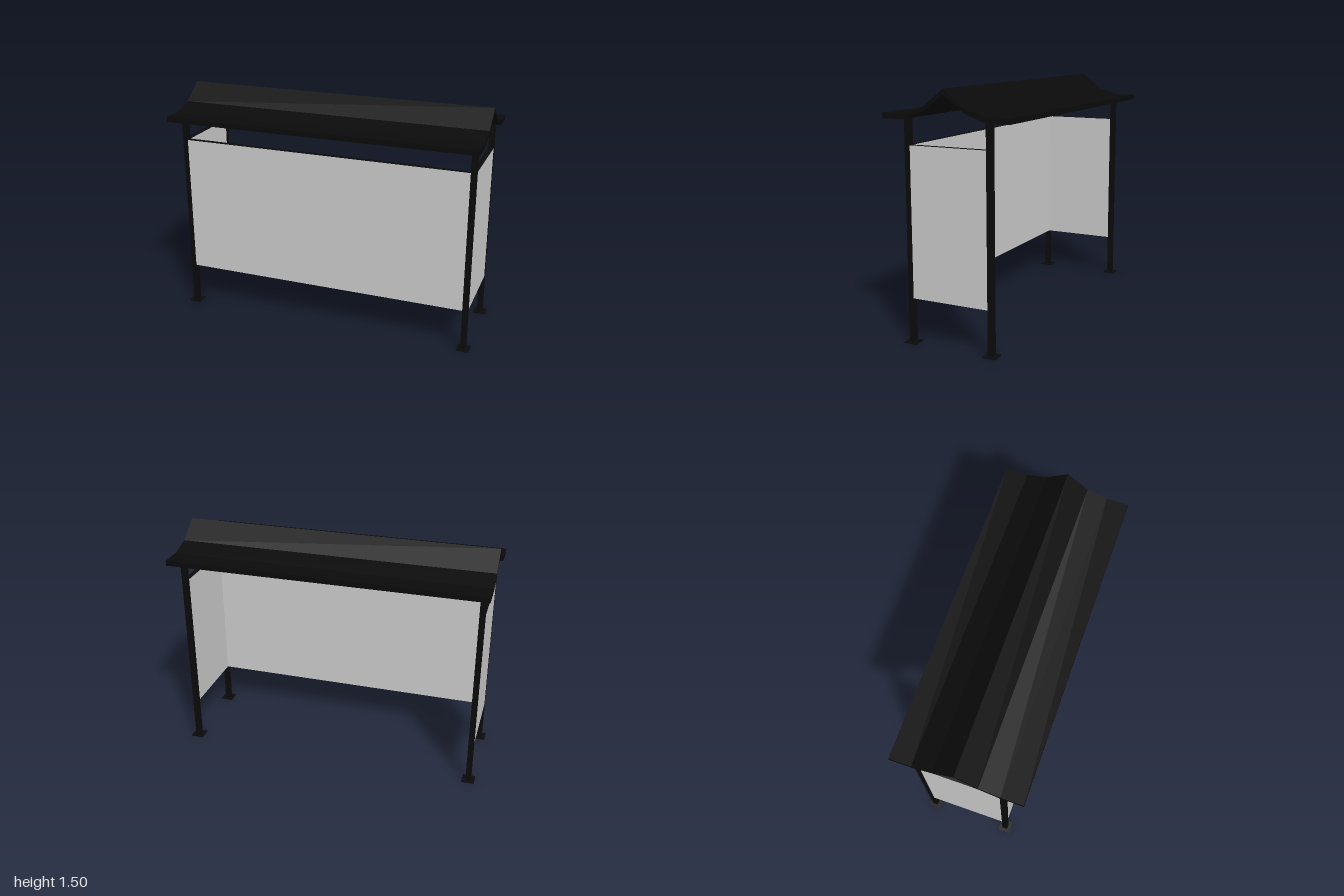
import * as THREE from 'three';

export function createModel() {
  const group = new THREE.Group();
  const black = new THREE.MeshStandardMaterial({ color: 0x0a0a0a });
  const grey = new THREE.MeshStandardMaterial({ color: 0xcccccc });

  const postX = 0.95, postZ = 0.262, postW = 0.034;
  const panelBottom = 0.275, panelTop = 1.175;

  function box(name, size, position, material) {
    const mesh = new THREE.Mesh(new THREE.BoxGeometry(...size), material);
    mesh.name = name;
    mesh.position.set(...position);
    group.add(mesh);
  }

  // Four corner posts on thin foot plates
  for (const sx of [-1, 1]) {
    for (const sz of [-1, 1]) {
      box('post', [postW, 1.335, postW], [sx * postX, 1.335 / 2, sz * postZ], black);
      box('footPlate', [0.08, 0.005, 0.08], [sx * postX, 0.0025, sz * postZ], black);
    }
  }

  // Wall panels between the posts: grey faces, dark top and bottom edges
  const panelMaterials = [grey, grey, black, black, grey, grey];
  const panelH = panelTop - panelBottom;
  const panelY = (panelTop + panelBottom) / 2;
  box('frontPanel', [2 * postX - postW, panelH, postW], [0, panelY, postZ], panelMaterials);
  for (const sx of [-1, 1]) {
    box('sidePanel', [postW, panelH, 2 * postZ - postW], [sx * postX, panelY, 0], panelMaterials);
  }

  // Folded roof sheet: half profile from eave to ridge, mirrored and extruded along x
  const top = [[0.403, 1.355], [0.265, 1.355], [0.135, 1.395], [0, 1.5]];
  const under = [[0, 1.47], [0.14, 1.368], [0.26, 1.325], [0.403, 1.322]];
  const mirror = (points) => points.map(([z, y]) => [-z, y]).reverse();
  const outline = [
    ...top, ...mirror(top).slice(1),
    ...mirror(under), ...under.slice(1),
  ].map(([z, y]) => new THREE.Vector2(z, y));
  const roofGeometry = new THREE.ExtrudeGeometry(new THREE.Shape(outline), { depth: 2, bevelEnabled: false });
  roofGeometry.translate(0, 0, -1).rotateY(Math.PI / 2);
  const roof = new THREE.Mesh(roofGeometry, black);
  roof.name = 'roof';
  group.add(roof);

  return group;
}
